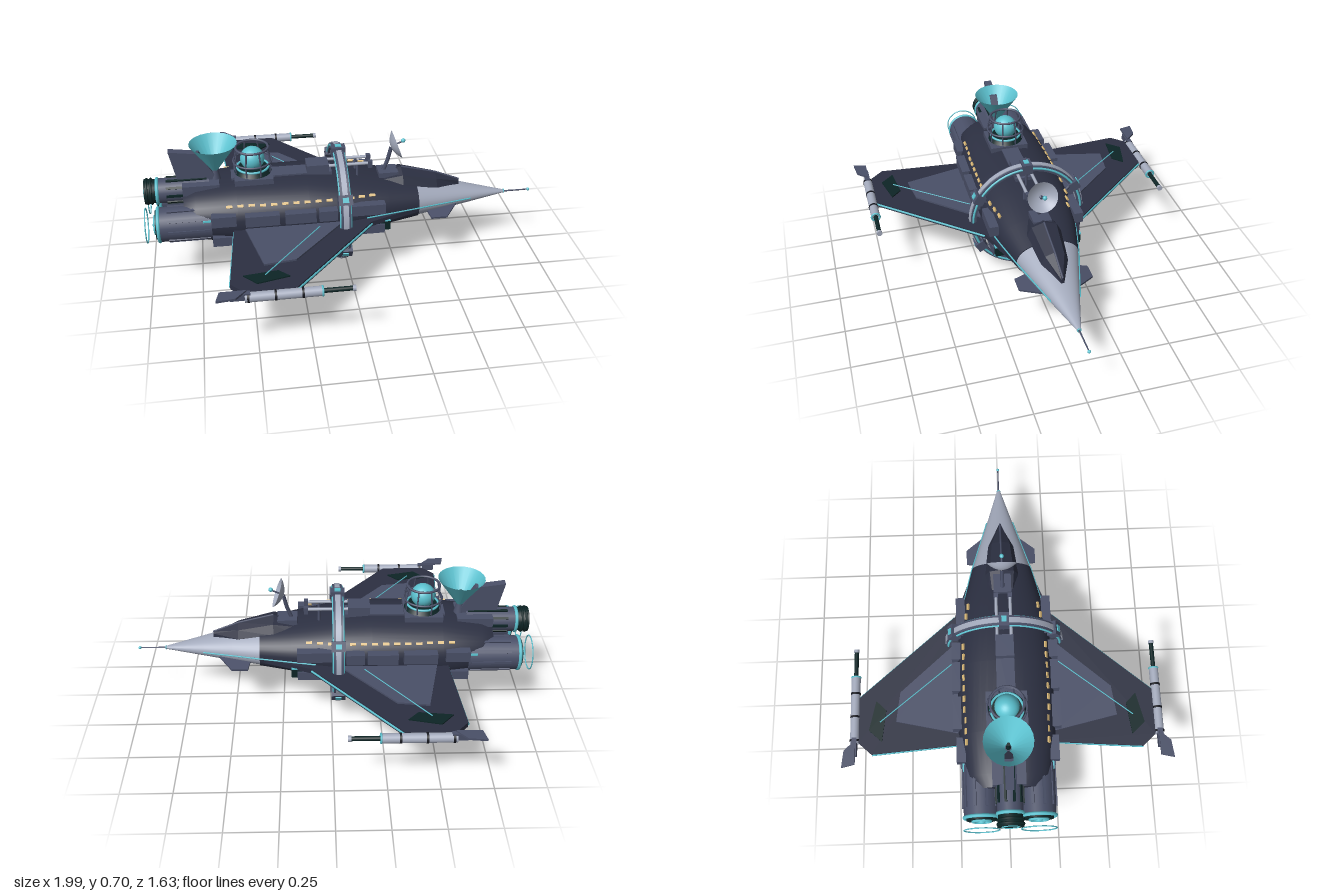
import * as THREE from 'three';
import { toCreasedNormals } from 'three/addons/utils/BufferGeometryUtils.js';

const mat = (name, color, side = THREE.FrontSide) =>
  Object.assign(new THREE.MeshStandardMaterial({ color, side }), { name });

export function createModel() {
  const hullM = mat('hull navy', 0x2c3042), greyM = mat('slate grey', 0x4a5068);
  const lightM = mat('light grey', 0xa4abbd, THREE.DoubleSide), tealM = mat('teal', 0x5cc2d0, THREE.DoubleSide);
  const darkM = mat('dark green', 0x0d2526), blackM = mat('black', 0x15171f), amberM = mat('amber', 0xd9b877);
  const root = new THREE.Group();
  root.name = 'starship';

  const add = (name, geo, m, x = 0, y = 0, z = 0) => {
    const mesh = new THREE.Mesh(geo, m);
    mesh.name = name;
    mesh.position.set(x, y, z);
    root.add(mesh);
    return mesh;
  };
  const box = (name, m, x, y, z, w, h, d) => add(name, new THREE.BoxGeometry(w, h, d), m, x, y, z);
  const ball = (name, m, r, x, y, z) => add(name, new THREE.SphereGeometry(r, 24, 16), m, x, y, z);
  // cylinder along x from x0 to x1
  const cylX = (name, m, r0, r1, x0, x1, y, z, open = false) =>
    add(name, new THREE.CylinderGeometry(r1, r0, x1 - x0, 24, 1, open).rotateZ(-Math.PI / 2), m, (x0 + x1) / 2, y, z);
  const cylY = (name, m, rTop, rBot, y0, y1, x, z, open = false) =>
    add(name, new THREE.CylinderGeometry(rTop, rBot, y1 - y0, 24, 1, open), m, x, (y0 + y1) / 2, z);
  const hoopX = (name, m, r, t, x, y, z) =>
    add(name, new THREE.TorusGeometry(r, t, 8, 48).rotateY(Math.PI / 2), m, x, y, z);
  const hoopY = (name, m, r, t, x, y, z) =>
    add(name, new THREE.TorusGeometry(r, t, 8, 40).rotateX(Math.PI / 2), m, x, y, z);
  const line = (name, m, r, pts) => {
    const path = new THREE.CurvePath();
    const v = pts.map(p => new THREE.Vector3(...p));
    for (let i = 1; i < v.length; i++) path.add(new THREE.LineCurve3(v[i - 1], v[i]));
    return add(name, new THREE.TubeGeometry(path, (v.length - 1) * 8, r, 6), m);
  };
  // horizontal plate from [x, z] points
  const plate = (name, m, pts, y, h) => {
    const s = new THREE.Shape(pts.map(([x, z]) => new THREE.Vector2(x, -z)));
    return add(name, new THREE.ExtrudeGeometry(s, { depth: h, bevelEnabled: false }).rotateX(-Math.PI / 2), m, 0, y, 0);
  };
  // superellipse loft along x through stations [x, centreY, halfHeight, halfWidth]
  const loft = (name, m, st, n, segs, flat = false) => {
    const pos = [], idx = [], p = v => Math.sign(v) * Math.abs(v) ** (2 / n);
    const ring = ([x, cy, ry, rz]) => {
      for (let j = 0; j < segs; j++) {
        const t = j / segs * Math.PI * 2;
        pos.push(x, cy + ry * p(Math.sin(t)), rz * p(Math.cos(t)));
      }
    };
    st.forEach(ring);
    for (let i = 0; i < st.length - 1; i++) for (let j = 0; j < segs; j++) {
      const a = i * segs + j, b = i * segs + (j + 1) % segs;
      idx.push(a, a + segs, b, b, a + segs, b + segs);
    }
    [st[0], st[st.length - 1]].forEach((s, end) => {
      const o = pos.length / 3;
      ring(s);
      pos.push(s[0], s[1], 0);
      for (let j = 0; j < segs; j++) {
        const a = o + j, b = o + (j + 1) % segs;
        idx.push(o + segs, end ? b : a, end ? a : b);
      }
    });
    let g = new THREE.BufferGeometry();
    g.setAttribute('position', new THREE.Float32BufferAttribute(pos, 3));
    g.setIndex(idx);
    if (flat) g = g.toNonIndexed();
    g.computeVertexNormals();
    return add(name, g, m);
  };

  // fuselage, nose cone and probe
  loft('fuselage', hullM, [[-0.81, 0.35, 0.11, 0.165], [-0.75, 0.352, 0.135, 0.205], [-0.55, 0.355, 0.16, 0.237],
    [-0.2, 0.355, 0.162, 0.242], [0, 0.35, 0.15, 0.232], [0.2, 0.342, 0.12, 0.195], [0.36, 0.337, 0.094, 0.156]], 2.3, 40);
  loft('noseCone', lightM, [[0.355, 0.337, 0.094, 0.156], [0.5, 0.327, 0.07, 0.113],
    [0.65, 0.317, 0.043, 0.068], [0.85, 0.306, 0.007, 0.009]], 2.1, 40);
  cylX('noseProbe', greyM, 0.004, 0.003, 0.84, 0.98, 0.305, 0);
  ball('probeTip', tealM, 0.008, 0.985, 0.305, 0);
  hoopX('probeCollar', tealM, 0.008, 0.003, 0.85, 0.306, 0);

  // canopy: faceted wedge with a grey frame
  loft('canopy', hullM, [[0.19, 0.43, 0.04, 0.075], [0.29, 0.43, 0.068, 0.088], [0.47, 0.395, 0.058, 0.066],
    [0.6, 0.37, 0.03, 0.008]], 2, 8, true);
  line('canopyFrame', greyM, 0.005, [[0.29, 0.498, 0], [0.47, 0.453, 0], [0.6, 0.4, 0]]);
  box('canopyBase', greyM, 0.22, 0.47, 0, 0.1, 0.04, 0.09);
  box('keel', blackM, -0.2, 0.2, 0, 0.8, 0.03, 0.12);

  // spine plates
  box('spine', greyM, -0.32, 0.513, 0, 0.5, 0.02, 0.09);
  box('turretDeck', greyM, -0.46, 0.52, 0, 0.19, 0.03, 0.2);
  box('sensorHousing', greyM, -0.14, 0.53, 0, 0.11, 0.06, 0.09);
  box('rearDeck', greyM, -0.72, 0.485, 0, 0.18, 0.05, 0.16);

  // mirrored side fittings
  for (const s of [1, -1]) {
    for (const [x, w] of [[-0.62, 0.12], [-0.435, 0.165], [-0.25, 0.15], [-0.115, 0.09], [0.085, 0.17]]) {
      const z = s * (x > 0 ? 0.218 : x < -0.6 ? 0.226 : 0.243);
      box('upperSidePanel', greyM, x, 0.397, z, w, 0.055, 0.046);
      box('lowerSidePanel', greyM, x, 0.278, z * 0.94, w, 0.048, 0.046);
    }
    for (let i = 0; i < 14; i++) {
      const x = -0.59 + i * 0.054;
      if (Math.abs(x + 0.033) < 0.03) continue;
      const z = x > 0 ? 0.2 - x * 0.2 : x < -0.45 ? 0.199 : 0.206;
      const w = box('cabinWindow', amberM, x, 0.452 - Math.max(0, x) * 0.05, s * z, 0.03, 0.013, 0.009);
      w.rotation.x = -s * 0.7;
    }
    line('sideStripe', tealM, 0.004, [[0.08, 0.343, s * 0.222], [0.2, 0.342, s * 0.197],
      [0.36, 0.337, s * 0.158], [0.5, 0.328, s * 0.115], [0.65, 0.318, s * 0.07]]);
    box('rearMarker', tealM, -0.7, 0.39, s * 0.217, 0.04, 0.008, 0.009);
    box('intake', darkM, 0.16, 0.29, s * 0.195, 0.08, 0.05, 0.05);
    box('intakeTrim', tealM, 0.16, 0.318, s * 0.197, 0.08, 0.006, 0.052);

    // canard
    const canard = plate('canard', greyM, [[0.4, s * 0.08], [0.42, s * 0.185], [0.5, s * 0.185], [0.59, s * 0.06]], 0, 0.01);
    canard.position.y = 0.315;
    canard.rotation.x = s * 0.18;

    // wing with raised panel, dark inset and trim lines
    const w = pts => pts.map(([x, z]) => [x, s * z]);
    plate('wing', hullM, w([[-0.57, 0.15], [-0.61, 0.67], [-0.55, 0.735], [-0.32, 0.735], [0.1, 0.25], [0.36, 0.15], [0.3, 0.1]]), 0.312, 0.026);
    plate('wingPanel', greyM, w([[-0.52, 0.24], [-0.45, 0.55], [-0.3, 0.53], [-0.04, 0.24]]), 0.336, 0.011);
    plate('wingInset', darkM, w([[-0.55, 0.62], [-0.49, 0.685], [-0.34, 0.65], [-0.39, 0.6]]), 0.336, 0.008);
    line('wingConduit', tealM, 0.003, [[-0.45, 0.347, s * 0.63], [-0.16, 0.347, s * 0.27]]);
    line('leadingEdge', tealM, 0.006, [[-0.32, 0.325, s * 0.735], [0.1, 0.325, s * 0.25]]);
    line('trailingEdge', tealM, 0.006, [[-0.61, 0.325, s * 0.67], [-0.575, 0.325, s * 0.23]]);

    // wing-tip cannon
    const gz = s * 0.757, gy = 0.325;
    cylX('cannonBody', lightM, 0.023, 0.023, -0.55, -0.21, gy, gz);
    for (const x of [-0.54, -0.42, -0.3]) cylX('cannonBand', blackM, 0.025, 0.025, x, x + 0.01, gy, gz);
    hoopX('cannonRing', tealM, 0.021, 0.005, -0.208, gy, gz);
    cylX('cannonBarrel', darkM, 0.011, 0.011, -0.21, -0.07, gy, gz);
    cylX('cannonMuzzle', lightM, 0.014, 0.014, -0.075, -0.06, gy, gz);
    plate('tipFin', greyM, w([[-0.675, 0.815], [-0.59, 0.805], [-0.54, 0.75], [-0.66, 0.75]]), 0.35, 0.01);
    box('tipFinMount', greyM, -0.57, 0.335, gz, 0.09, 0.035, 0.025);
  }

  // engines: [y, z, radius, nozzle material]
  for (const [y, z, r, m] of [[0.345, 0.137, 0.085, greyM], [0.345, -0.137, 0.085, greyM], [0.457, 0, 0.062, darkM]]) {
    cylX('engineHousing', greyM, r, r * 1.05, -0.935, -0.68, y, z);
    hoopX('engineTrim', tealM, r * 0.97, 0.009, -0.935, y, z);
    cylX('engineWell', darkM, r * 0.85, r * 0.85, -0.95, -0.9, y, z);
    hoopX('engineGlow', tealM, r * 0.5, 0.008, -0.952, y, z);
    ball('engineCore', tealM, r * 0.25, -0.945, y, z);
    for (let k = 0; k < 10; k++) {
      const a = k / 10 * Math.PI * 2;
      const rib = box('engineRib', m, -0.79, y + Math.sin(a) * r * 1.02, z + Math.cos(a) * r * 1.02, 0.2, 0.012, 0.012);
      rib.rotation.x = -a;
    }
    if (z) {
      hoopX('exhaustHoop', tealM, r, 0.003, -0.995, y, z);
    } else {
      cylX('centreNozzle', darkM, 0.064, 0.058, -0.998, -0.94, y, z);
      for (const x of [-0.985, -0.965]) hoopX('nozzleRidge', darkM, 0.062, 0.006, x, y, z);
      hoopX('nozzleGlow', tealM, 0.04, 0.005, -0.997, y, z);
    }
  }

  // tail fin and horn antenna
  const finShape = new THREE.Shape([[-0.865, 0.675], [-0.72, 0.655], [-0.63, 0.5], [-0.82, 0.46]].map(p => new THREE.Vector2(...p)));
  add('tailFin', new THREE.ExtrudeGeometry(finShape, { depth: 0.04, bevelEnabled: false }), greyM, 0, 0, -0.02);
  cylY('hornAntenna', tealM, 0.117, 0.015, 0.555, 0.7, -0.647, 0, true);
  cylY('hornStem', greyM, 0.015, 0.03, 0.49, 0.56, -0.647, 0);
  cylY('hornFeed', darkM, 0.008, 0.012, 0.555, 0.63, -0.647, 0);

  // caged globe
  ball('globe', tealM, 0.06, -0.46, 0.605, 0);
  cylY('globeBase', darkM, 0.075, 0.095, 0.53, 0.56, -0.46, 0);
  hoopY('globeCollar', tealM, 0.078, 0.006, -0.46, 0.56, 0);
  hoopY('cageEquator', greyM, 0.095, 0.005, -0.46, 0.595, 0);
  hoopY('cageTop', greyM, 0.08, 0.006, -0.46, 0.665, 0);
  for (let k = 0; k < 8; k++) {
    const a = (k + 0.5) / 8 * Math.PI * 2, c = Math.cos(a), s = Math.sin(a);
    line('cagePost', greyM, 0.004, [[-0.46 + c * 0.09, 0.54, s * 0.09], [-0.46 + c * 0.095, 0.595, s * 0.095], [-0.46 + c * 0.08, 0.665, s * 0.08]]);
  }

  // forward dish on a mast, tilted up
  const bowl = [0, 0.02, 0.04, 0.06, 0.075].map(r => new THREE.Vector2(r, r * r * 6));
  const dish = add('dish', new THREE.LatheGeometry(bowl, 32), lightM, 0.235, 0.615, 0);
  dish.rotation.z = -Math.PI / 2 + 0.35;
  line('dishFeed', greyM, 0.004, [[0.235, 0.615, 0], [0.298, 0.643, 0]]);
  ball('dishTip', tealM, 0.011, 0.298, 0.645, 0);
  line('dishMast', greyM, 0.01, [[0.19, 0.46, 0], [0.22, 0.54, 0], [0.238, 0.615, 0]]);
  for (const s of [1, -1]) {
    cylX('sensorBar', lightM, 0.008, 0.008, -0.1, 0.13, 0.55, s * 0.035);
    box('sensorHead', greyM, 0.125, 0.545, s * 0.035, 0.022, 0.036, 0.022);
    cylY('sensorPost', greyM, 0.006, 0.008, 0.46, 0.55, 0.06, s * 0.035);
  }

  // encircling ring
  const rx = -0.033, ry = 0.327;
  const band = (name, m, r0, r1, w) => {
    const sh = new THREE.Shape().absarc(0, 0, r1, 0, Math.PI * 2);
    sh.holes.push(new THREE.Path().absarc(0, 0, r0, 0, Math.PI * 2, true));
    const g = new THREE.ExtrudeGeometry(sh, { depth: w, bevelEnabled: false, curveSegments: 64 }).translate(0, 0, -w / 2);
    return add(name, toCreasedNormals(g.rotateY(Math.PI / 2), 0.5), m, rx, ry, 0);
  };
  band('ringCore', greyM, 0.27, 0.297, 0.048);
  band('ringBand', lightM, 0.268, 0.302, 0.026);
  for (const s of [1, -1]) hoopX('ringTrim', tealM, 0.286, 0.006, rx + s * 0.024, ry, 0);
  for (let k = 0; k < 6; k++) {
    const a = Math.PI / 2 + k * Math.PI / 3, c = Math.cos(a), s = Math.sin(a);
    const b = box('ringClamp', greyM, rx, ry + s * 0.287, c * 0.287, 0.07, 0.05, 0.05);
    b.rotation.x = -a;
    const t = box('clampLight', tealM, rx, ry + s * 0.313, c * 0.313, 0.03, 0.008, 0.025);
    t.rotation.x = Math.PI / 2 - a;
    line('ringSpoke', greyM, 0.007, [[rx, ry + s * 0.14, c * 0.2], [rx, ry + s * 0.28, c * 0.28]]);
  }
  ball('lowerBeacon', tealM, 0.008, rx, 0.008, 0);

  // belly pod with portholes
  const py = 0.11;
  cylX('bellyPod', lightM, 0.07, 0.07, -0.435, -0.09, py, 0);
  cylX('podTail', lightM, 0.045, 0.07, -0.49, -0.435, py, 0);
  cylX('podTailTip', lightM, 0.02, 0.045, -0.512, -0.49, py, 0);
  for (const x of [-0.437, -0.095]) cylX('podBand', blackM, 0.073, 0.073, x, x + 0.012, py, 0);
  ball('podNose', lightM, 0.066, -0.088, py, 0);
  for (const s of [1, -1]) {
    for (let i = 0; i < 5; i++) box('podWindow', tealM, -0.385 + i * 0.056, 0.125, s * 0.068, 0.034, 0.02, 0.009);
    cylY('landingStrut', lightM, 0.006, 0.006, 0.1, 0.2, -0.16, s * 0.13);
  }
  for (const x of [-0.38, -0.15]) box('podPylon', greyM, x, 0.19, 0, 0.07, 0.05, 0.05);
  cylY('podSensor', darkM, 0.012, 0.012, 0.02, 0.045, -0.265, 0);
  ball('podSensorTip', tealM, 0.011, -0.265, 0.022, 0);
  return root;
}
